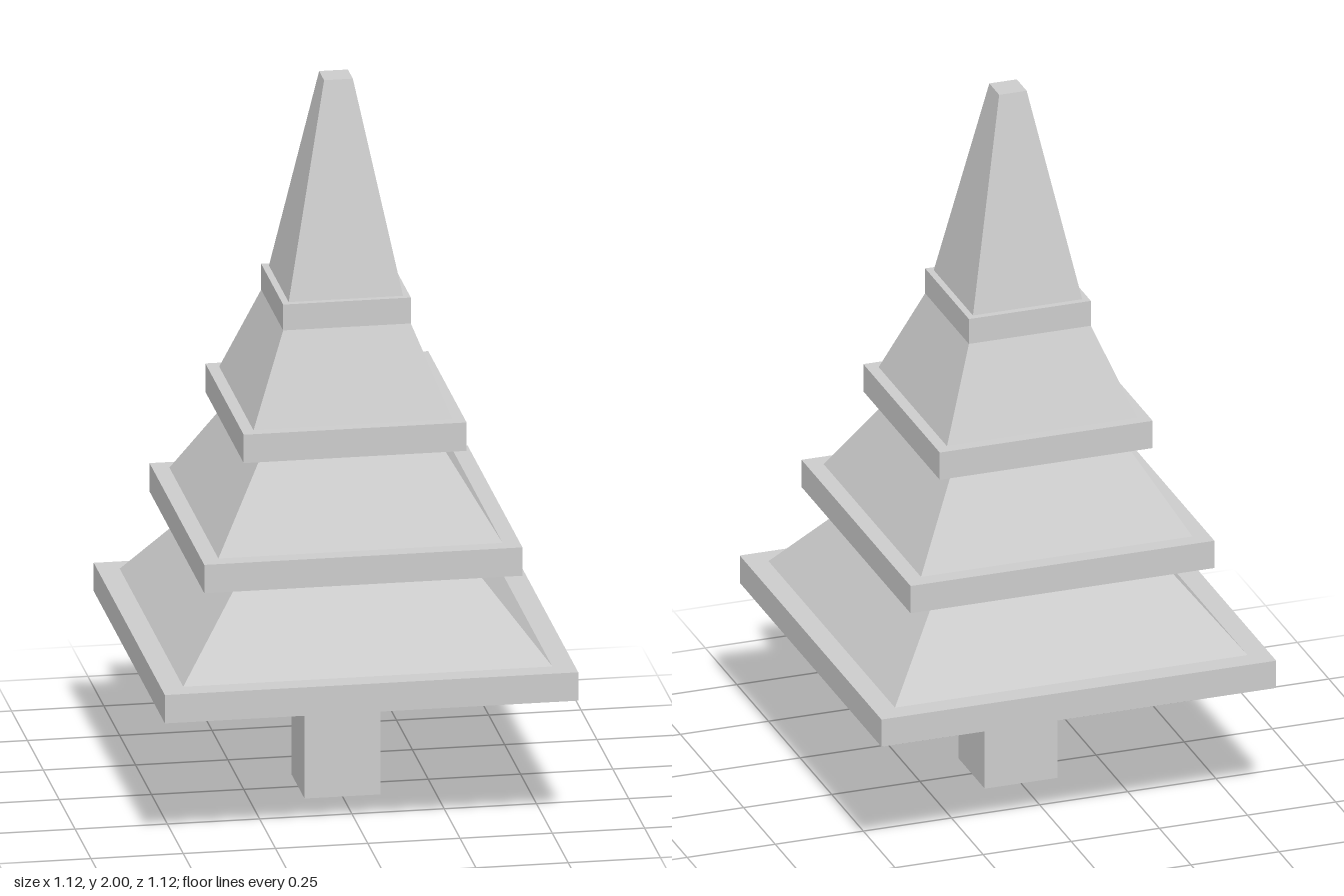
import * as THREE from 'three';

const gray = new THREE.MeshStandardMaterial({ color: 0xcccccc });
gray.name = 'light gray';

function add(group, name, geometry, y) {
  const mesh = new THREE.Mesh(geometry, gray);
  mesh.name = name;
  mesh.position.y = y;
  group.add(mesh);
}

// Square block given by its half width and bottom height
function block(group, name, half, bottom, height) {
  add(group, name, new THREE.BoxGeometry(half * 2, height, half * 2), bottom + height / 2);
}

// Square pyramid with a cut top, sides facing the axes, hard edges
function cutPyramid(group, name, lowHalf, topHalf, bottom, height) {
  const geometry = new THREE.CylinderGeometry(topHalf * Math.SQRT2, lowHalf * Math.SQRT2, height, 4)
    .rotateY(Math.PI / 4).toNonIndexed();
  geometry.computeVertexNormals();
  add(group, name, geometry, bottom + height / 2);
}

export function createModel() {
  const tree = new THREE.Group();
  tree.name = 'tree';

  block(tree, 'trunk', 0.103, 0, 0.4);

  // Four tiers, each a flat rim with a tapering bough block on top
  const rimHeight = 0.08;
  for (let i = 0; i < 4; i++) {
    const tier = new THREE.Group();
    tier.name = `tier${i + 1}`;
    const bottom = 0.39 + i * 0.3165;
    block(tier, 'rim', 0.56 - i * 0.129, bottom, rimHeight);
    cutPyramid(tier, 'boughs', 0.5 - i * 0.115, 0.039, bottom + rimHeight, 0.58);
    tree.add(tier);
  }
  return tree;
}
